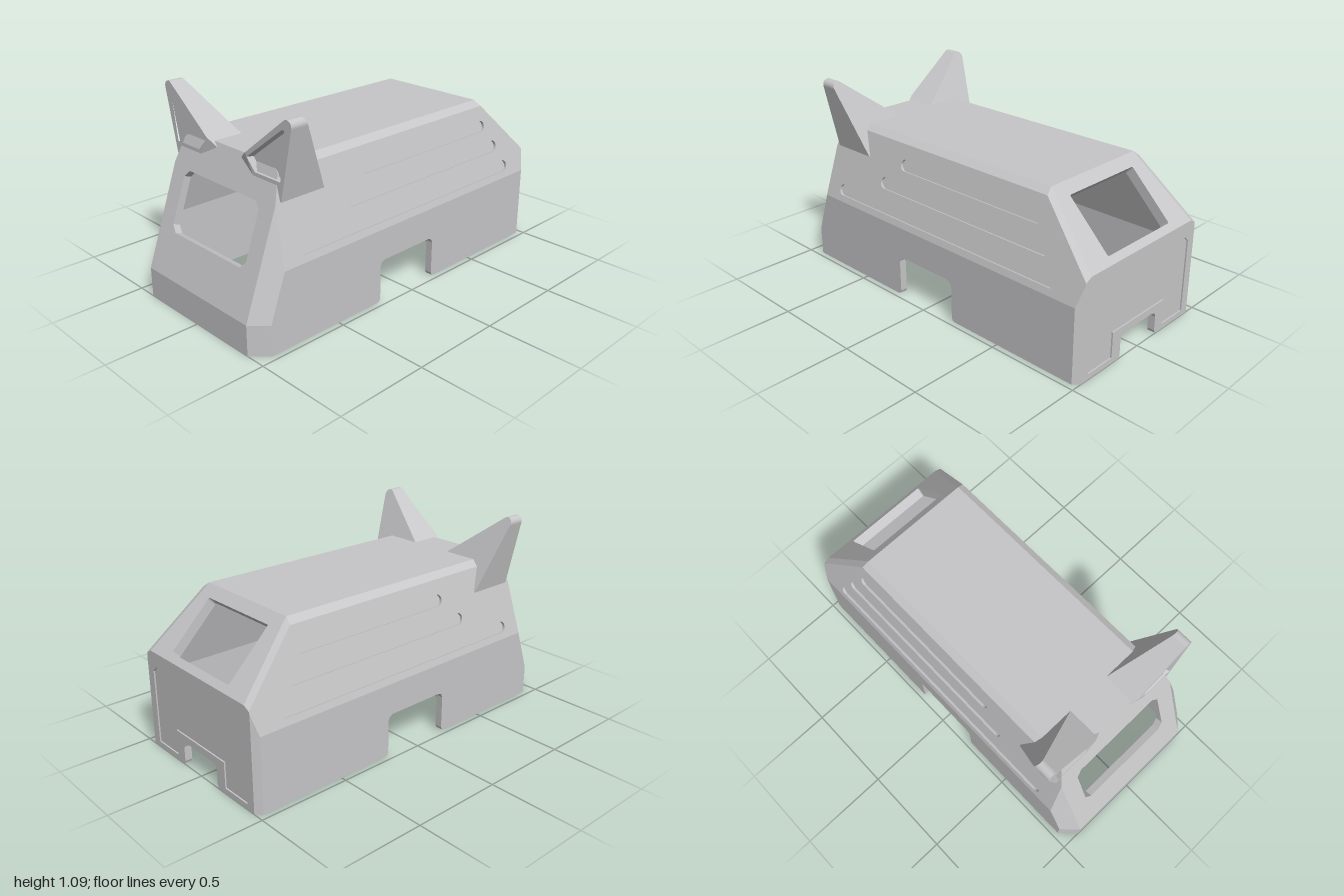
import * as THREE from 'three';
import { ConvexGeometry } from 'three/addons/geometries/ConvexGeometry.js';

const V = (x, y, z) => new THREE.Vector3(x, y, z);
const shellGrey = new THREE.MeshStandardMaterial({ color: 0xc6c6c8 });
shellGrey.name = 'shellGrey';

function addMesh(group, geometry, name) {
  const mesh = new THREE.Mesh(geometry, shellGrey);
  mesh.name = name;
  group.add(mesh);
}

// Rectangle with rounded corners (steps = 1 gives chamfers)
function roundRect(a0, a1, b0, b1, r, steps = 6) {
  const pts = [];
  [[a1 - r, b1 - r], [a0 + r, b1 - r], [a0 + r, b0 + r], [a1 - r, b0 + r]].forEach(([a, b], q) => {
    for (let i = 0; i <= steps; i++) {
      const t = (q + i / steps) * Math.PI / 2;
      pts.push([a + r * Math.cos(t), b + r * Math.sin(t)]);
    }
  });
  return pts;
}

// Notch rising from the bottom edge, with rounded corners
function notchPath(a, b, h) {
  const half = [[-0.02, 0], [-0.006, 0.006], [0, 0.02], [0, h - 0.03], [0.009, h - 0.009], [0.03, h]];
  return [...half.map(([d, y]) => [a + d, y]), ...half.map(([d, y]) => [b - d, y]).reverse()];
}

// Half-space from a normal and a point on it
function plane(name, n, p, options = {}) {
  const normal = V(...n).normalize();
  return { name, n: normal, d: normal.dot(V(...p)), t: 0.04, holes: [], ...options };
}

function axes(n) {
  const u = Math.abs(n.y) > 0.99 ? V(1, 0, 0) : V(0, 1, 0).cross(n).normalize();
  return [u, n.clone().cross(u)];
}

// Face of the convex body lying on one plane, cut by all the others
function facePolygon(face, planes) {
  const [u, v] = axes(face.n);
  let poly = [[-3, -3], [3, -3], [3, 3], [-3, 3]].map(([a, b]) =>
    face.n.clone().multiplyScalar(face.d).addScaledVector(u, a).addScaledVector(v, b));
  for (const p of planes) {
    if (p === face) continue;
    const out = [];
    poly.forEach((A, i) => {
      const B = poly[(i + 1) % poly.length];
      const da = p.n.dot(A) - p.d, db = p.n.dot(B) - p.d;
      if (da <= 1e-7) out.push(A);
      if ((da <= 1e-7) !== (db <= 1e-7)) out.push(A.clone().lerp(B, da / (da - db)));
    });
    poly = out;
  }
  return poly;
}

// Walls: every face becomes a plate extruded inwards, with its openings
function addWall(group, face, planes) {
  const { n, d } = face;
  const [u, v] = axes(n);
  const poly = facePolygon(face, planes);
  if (poly.length < 3) return;
  const lift = ([a, y]) => Math.abs(n.z) > 0.3
    ? V(a, y, (d - n.y * y - n.x * a) / n.z)
    : V((d - n.y * y - n.z * a) / n.x, y, a);
  const flat = p => new THREE.Vector2(p.dot(u), p.dot(v));
  const outline = [];
  poly.forEach((A, i) => {
    outline.push(A);
    const B = poly[(i + 1) % poly.length];
    if (face.notch && Math.abs(A.y) < 1e-5 && Math.abs(B.y) < 1e-5) {
      const cut = face.notch.map(lift);
      if (cut[0].distanceTo(A) > cut[0].distanceTo(B)) cut.reverse();
      outline.push(...cut);
    }
  });
  const layer = (from, to, holes) => {
    const shape = new THREE.Shape(outline.map(flat));
    holes.forEach(h => shape.holes.push(new THREE.Path(h.map(lift).map(flat))));
    const geo = new THREE.ExtrudeGeometry(shape, { depth: to - from, bevelEnabled: false });
    geo.applyMatrix4(new THREE.Matrix4().makeBasis(u, v, n).setPosition(n.clone().multiplyScalar(d - to)));
    addMesh(group, geo, face.name);
  };
  if (face.recess) {
    layer(0, face.recess, face.holes);
    layer(face.recess, face.t, []);
  } else layer(0, face.t, face.holes);
}

function extrudeMapped(points, hole, map) {
  const shape = new THREE.Shape(points.map(p => new THREE.Vector2(...p)));
  if (hole) shape.holes.push(new THREE.Path(hole.map(p => new THREE.Vector2(...p))));
  const geo = new THREE.ExtrudeGeometry(shape, { depth: 1, bevelEnabled: false });
  const pos = geo.attributes.position;
  for (let i = 0; i < pos.count; i++) pos.setXYZ(i, ...map(pos.getX(i), pos.getY(i), pos.getZ(i)));
  geo.computeVertexNormals();
  return geo;
}

// Ear: wedge with a rounded tip and a sloped recess in front
function createEar(s) {
  const ear = new THREE.Group();
  ear.name = s > 0 ? 'leftEar' : 'rightEar';
  const tip = [];
  for (let i = 0; i <= 10; i++) {
    const t = THREE.MathUtils.degToRad(-12 + 13.9 * i);
    tip.push([s * (0.445 + 0.03 * Math.cos(t)), 1.06 + 0.03 * Math.sin(t)]);
  }
  const low = [[s * 0.205, 0.765], [s * 0.395, 0.695], ...tip, [s * 0.147, 0.868]];
  const hole = [[0.428, 1.035], [0.415, 1.04], [0.158, 0.85], [0.215, 0.79], [0.392, 0.79]].map(([x, y]) => [s * x, y]);
  const mid = 0.757;
  addMesh(ear, extrudeMapped([...low, [s * 0.084, 0.82]], null, (x, y, z) =>
    [x, y, z > 0.5 ? mid : 0.7 - (1.09 - y) * 0.456]), 'earBack');
  const inHole = (x, y) => hole.some(p => Math.abs(p[0] - x) + Math.abs(p[1] - y) < 1e-5);
  addMesh(ear, extrudeMapped(low, hole, (x, y, z) => {
    const k = z < 0.5 && inHole(x, y) ? 0.13 : 0;
    return [x + (s * 0.335 - x) * k, y + (0.875 - y) * k, z > 0.5 ? 0.78 : mid];
  }), 'earRim');
  const tri = [[0.205, 0.765], [0.147, 0.868]];
  addMesh(ear, new ConvexGeometry([
    ...tri.map(([x, y]) => V(s * x, y, 0.78)), ...tri.map(([x, y]) => V(s * x, y, mid)), V(s * 0.084, 0.82, mid),
  ]), 'earInnerCorner');
  return ear;
}

// Screw tab in a bottom corner
function createTab(s, points, hx, hz) {
  const shape = new THREE.Shape(points.map(([x, z]) => new THREE.Vector2(s * x, z)));
  shape.holes.push(new THREE.Path().absarc(s * hx, hz, 0.014, 0, Math.PI * 2, true));
  const geo = new THREE.ExtrudeGeometry(shape, { depth: 0.04, bevelEnabled: false, curveSegments: 12 });
  return geo.rotateX(Math.PI / 2).translate(0, 0.04, 0);
}

export function createModel() {
  const model = new THREE.Group();
  model.name = 'shell';

  // Openings and grooves, as (x or z, y)
  const slots = [[0.27, -0.7, 0.745], [0.4, -0.775, 0.62], [0.725, -0.84, 0.495]]
    .map(([front, back, top]) => roundRect(back, front, top - 0.06, top, 0.03));
  const rearPanel = [[-0.39, 0.03], [-0.21, 0.03], [-0.21, 0.17], [0.21, 0.17], [0.21, 0.03], [0.39, 0.03],
    [0.39, 0.43], [0.36, 0.46], [-0.36, 0.46], [-0.39, 0.43]];

  const planes = [
    plane('frontWall', [0, 0, 1], [0, 0, 1]),
    plane('frontSlope', [0, 0.36, 1], [0, 0.16, 1], { holes: [roundRect(-0.29, 0.29, 0.375, 0.675, 0.033, 1)] }),
    plane('roof', [0, 1, 0], [0, 0.85, 0]),
    plane('rearSlope', [0, 1, -1], [0, 0.54, -1], { t: 0.055, holes: [roundRect(-0.243, 0.243, 0.57, 0.8, 0.008, 3)] }),
    plane('rearWall', [0, 0, -1], [0, 0, -1], { notch: notchPath(-0.145, 0.145, 0.13), recess: 0.008, holes: [rearPanel] }),
  ];
  for (const s of [1, -1]) planes.push(
    plane('sideWall', [s, 0, 0], [s * 0.47, 0, 0], { notch: notchPath(-0.185, 0.21, 0.23) }),
    plane('sideSlope', [s, 0.276, 0], [s * 0.47, 0.4, 0], { recess: 0.014, holes: slots }),
    plane('roofChamfer', [s * 0.6, 0.8, 0], [s * 0.355, 0.82, 0]),
    plane('frontCorner', [s, 0, 1], [s * 0.39, 0, 1]),
    plane('frontSlopeCorner', [s, 0.36, 1], [s * 0.39, 0.16, 1]),
    plane('rearCorner', [s, 0, -1], [s * 0.44, 0, -1]),
    plane('rearSlopeCorner', [s * 0.36, 0.7, -0.6], [s * 0.4, 0.54, -1]),
  );
  const limits = [...planes, plane('bottom', [0, -1, 0], [0, 0, 0])];
  planes.forEach(face => addWall(model, face, limits));

  for (const s of [1, -1]) {
    model.add(createEar(s));
    addMesh(model, createTab(s, [[0.38, 0.98], [0.46, 0.9], [0.46, 0.84], [0.43, 0.84], [0.3, 0.96], [0.3, 0.98]], 0.39, 0.92), 'frontScrewTab');
    addMesh(model, createTab(s, [[0.44, -0.98], [0.455, -0.965], [0.455, -0.85], [0.43, -0.85], [0.32, -0.96], [0.32, -0.98]], 0.405, -0.935), 'rearScrewTab');
  }
  return model;
}
